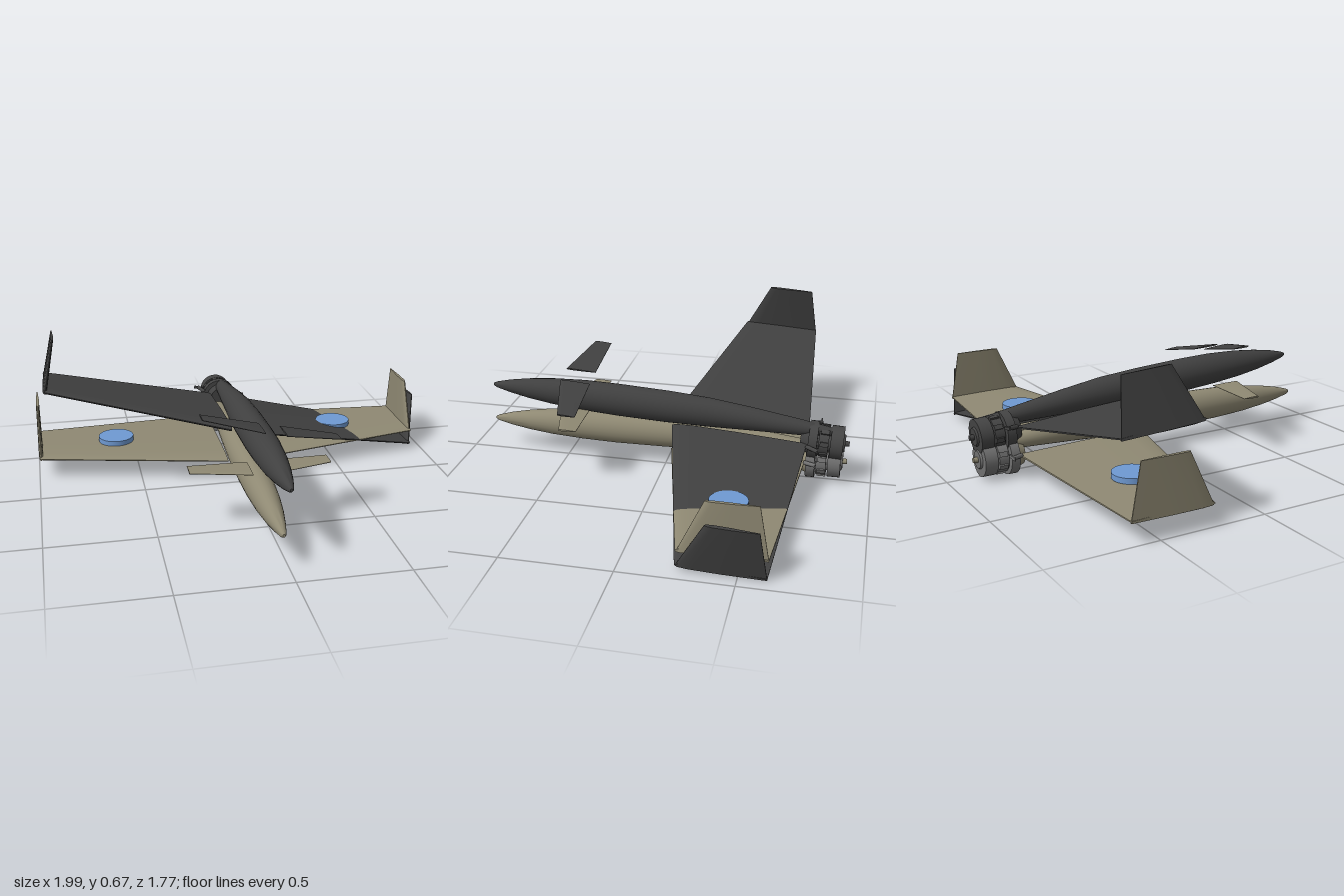
import * as THREE from 'three';
import { toCreasedNormals } from 'three/addons/utils/BufferGeometryUtils.js';

const material = (name, color) => Object.assign(new THREE.MeshStandardMaterial({ color }), { name });

// Closed skin through cross-sections; each section is a list of [x, y, z]
function loft(sections, crease = 0.6) {
  const n = sections[0].length;
  const points = sections.flat();
  const index = [];
  for (let i = 0; i < sections.length - 1; i++) {
    for (let j = 0; j < n; j++) {
      const a = i * n + j, b = i * n + (j + 1) % n;
      index.push(a, b, b + n, a, b + n, a + n);
    }
  }
  const last = (sections.length - 1) * n;
  for (let j = 1; j < n - 1; j++) {
    index.push(0, j + 1, j, last, last + j, last + j + 1);
  }
  // Turn the faces outward whichever side the part is on
  let volume = 0;
  const v = points.map((p) => new THREE.Vector3(...p));
  for (let i = 0; i < index.length; i += 3) {
    volume += v[index[i]].dot(v[index[i + 1]].clone().cross(v[index[i + 2]]));
  }
  if (volume < 0) index.reverse();
  const geometry = new THREE.BufferGeometry();
  geometry.setAttribute('position', new THREE.Float32BufferAttribute(points.flat(), 3));
  geometry.setIndex(index);
  return toCreasedNormals(geometry.toNonIndexed(), crease);
}

// Elliptical ring for the fuselage
function ring([z, y, rx, ry], sides = 24) {
  return Array.from({ length: sides }, (_, i) => {
    const a = (i / sides) * Math.PI * 2;
    return [rx * Math.cos(a), y + ry * Math.sin(a), z];
  });
}

// Thin streamlined section: position along the chord and half thickness
const FOIL = [[0, 0.15], [0.03, 0.7], [0.15, 1], [0.5, 0.9], [1, 0.25]];
function foil(front, back, thickness, place) {
  const upper = FOIL.map(([t, h]) => [front + (back - front) * t, h * thickness / 2]);
  const lower = upper.map(([z, h]) => [z, -h]).reverse();
  return [...upper, ...lower].map(([z, h]) => place(z, h));
}

function makeAircraft(name, body, metal, roundel) {
  const aircraft = new THREE.Group();
  aircraft.name = name;
  const add = (partName, geometry, mat, parent = aircraft) => {
    const mesh = new THREE.Mesh(geometry, mat);
    mesh.name = partName;
    parent.add(mesh);
    return mesh;
  };

  // Fuselage: z, centre height, half width, half height
  const profile = [
    [0.886, 0.055, 0.006, 0.007], [0.87, 0.055, 0.014, 0.015], [0.8, 0.057, 0.029, 0.033],
    [0.7, 0.059, 0.045, 0.051], [0.58, 0.061, 0.058, 0.066], [0.42, 0.063, 0.068, 0.077],
    [0.25, 0.063, 0.071, 0.081], [0, 0.064, 0.071, 0.079], [-0.2, 0.064, 0.064, 0.073],
    [-0.4, 0.06, 0.054, 0.058], [-0.65, 0.051, 0.037, 0.038], [-0.82, 0.046, 0.018, 0.02],
  ];
  add('fuselage', loft(profile.map((p) => ring(p))), body);

  for (const s of [1, -1]) {
    const side = s > 0 ? 'left' : 'right';

    // Main wing
    const wing = (x, front, back, t) => foil(front, back, t, (z, h) => [s * x, h, z]);
    add(side + 'Wing', loft([wing(0.058, -0.035, -0.685, 0.03), wing(0.968, -0.243, -0.625, 0.022)]), body);

    // Upright wing tip
    const tip = (y, front, back, t) => foil(front, back, t, (z, h) => [s * (0.962 + h), y, z]);
    add(side + 'Winglet', loft([tip(-0.008, -0.245, -0.625, 0.022), tip(0.238, -0.36, -0.582, 0.016)]), body);

    // Small front wing
    const canard = (x, front, back) => foil(front, back, 0.008, (z, h) => [s * x, 0.17 + h, z]);
    add(side + 'Canard', loft([canard(0.05, 0.52, 0.372), canard(0.322, 0.45, 0.366)]), body);

    // Round wing marking
    if (roundel) {
      const disc = add(side + 'WingDisc', new THREE.CylinderGeometry(0.088, 0.088, 0.026, 40), roundel);
      disc.position.set(s * 0.578, 0.024, -0.4);
    }
  }

  // Rear engine: stacked drums along the tail axis
  const engine = new THREE.Group();
  engine.name = 'engine';
  engine.position.y = -0.009;
  aircraft.add(engine);
  const drum = (partName, z0, z1, r0, r1, mat) => {
    const g = new THREE.CylinderGeometry(r0, r1, z0 - z1, 28);
    g.rotateX(Math.PI / 2);
    add(partName, g, mat, engine).position.z = (z0 + z1) / 2;
  };
  drum('cowl', -0.652, -0.692, 0.055, 0.07, body);
  drum('frontDrum', -0.69, -0.732, 0.09, 0.09, metal);
  drum('core', -0.73, -0.8, 0.05, 0.05, metal);
  drum('middleDrum', -0.738, -0.785, 0.074, 0.074, metal);
  drum('rearDrum', -0.793, -0.853, 0.08, 0.08, metal);
  drum('endPlate', -0.852, -0.862, 0.045, 0.04, metal);
  drum('hub', -0.855, -0.882, 0.014, 0.012, body);

  // Cylinder heads around the drums
  for (let i = 0; i < 8; i++) {
    const a = (i + 0.5) * Math.PI / 4;
    const head = add('cylinderHead', new THREE.BoxGeometry(0.022, 0.022, 0.04), metal, engine);
    head.position.set(0.07 * Math.cos(a), 0.07 * Math.sin(a), -0.765);
    head.rotation.z = a;
  }

  // Slanted exhaust stubs at the sides
  for (const s of [1, -1]) {
    const path = new THREE.LineCurve3(new THREE.Vector3(s * 0.085, 0.015, -0.685), new THREE.Vector3(s * 0.118, 0.02, -0.742));
    add('exhaustStub', new THREE.TubeGeometry(path, 1, 0.01, 10), metal, engine);
    const plate = add('exhaustPlate', new THREE.BoxGeometry(0.06, 0.014, 0.006), metal, engine);
    plate.position.set(s * 0.11, 0.02, -0.738);
  }
  return aircraft;
}

export function createModel() {
  const khaki = material('khaki paint', 0x8f8973);
  const charcoal = material('charcoal paint', 0x404040);
  const blue = material('blue marking', 0x6f9ad3);
  const grey = material('engine grey', 0x707070);
  const darkGrey = material('dark engine grey', 0x444444);

  const model = new THREE.Group();
  model.name = 'aircraftPair';

  // Level lower aircraft
  const lower = makeAircraft('lowerAircraft', khaki, grey, blue);
  lower.position.set(-0.025, 0.1, 0);

  // Banked upper aircraft, nose slightly raised
  const upper = makeAircraft('upperAircraft', charcoal, darkGrey, null);
  upper.position.set(-0.005, 0.249, -0.008);
  upper.rotation.set(-0.055, 0, -0.215);

  model.add(lower, upper);
  return model;
}
